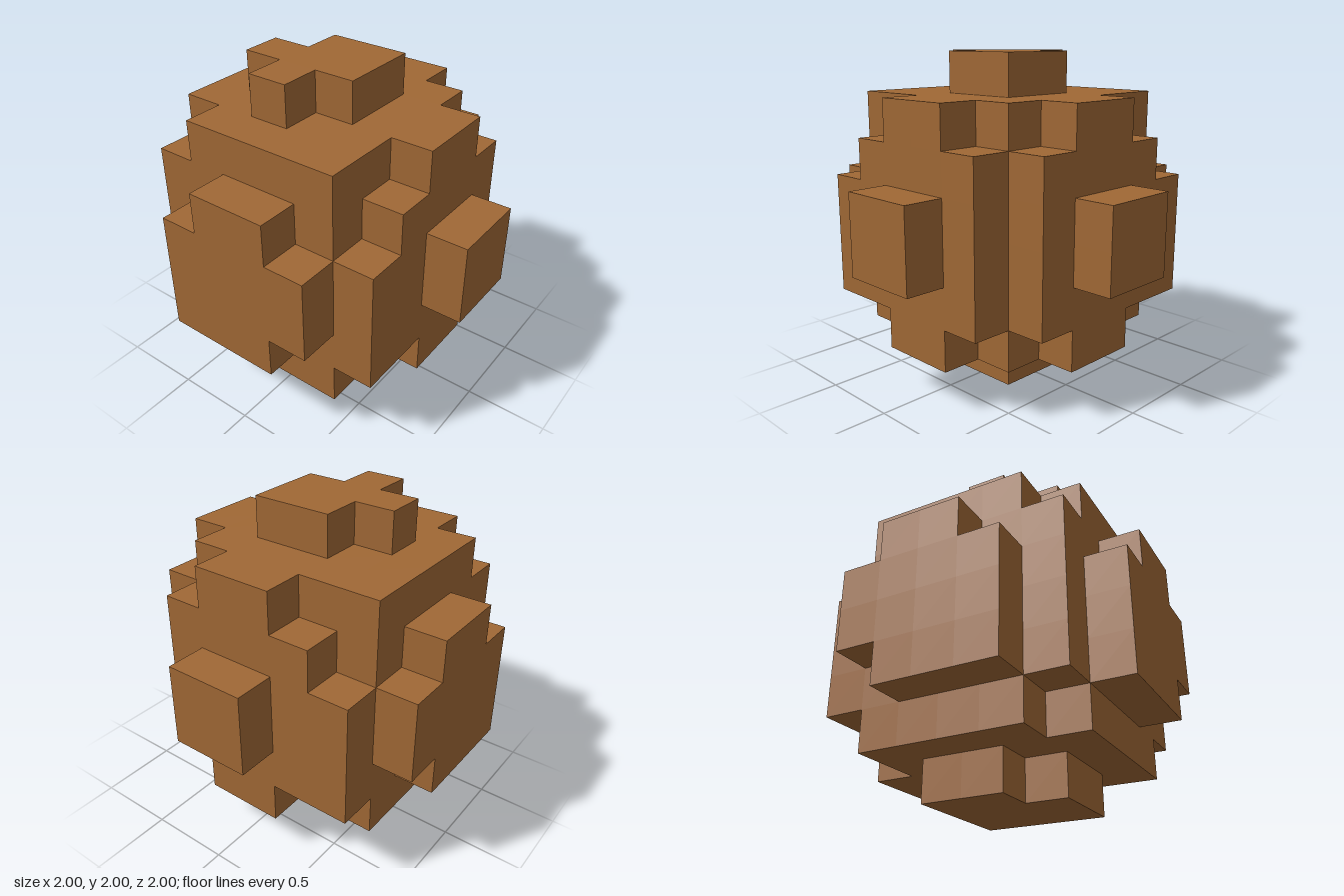
import * as THREE from 'three';
import { mergeGeometries } from 'three/addons/utils/BufferGeometryUtils.js';

const N = 8, CELL = 0.25;

// Layers from bottom to top. Each row runs back to front and gives
// the first and last filled cell along x ('--' is an empty row).
const cap = '-- 34 15 16 16 15 25 --';
const middle = '34 15 06 07 07 06 16 25';
const layers = [
  '-- -- -- 24 24 34 -- --',
  cap,
  '-- 15 16 06 06 06 16 24',
  middle,
  middle,
  '-- 25 16 06 06 16 15 34',
  cap,
  '-- -- -- 34 24 33 -- --',
].map((layer) => layer.split(' '));

function filled(x, y, z) {
  const row = layers[y]?.[z];
  return !!row && row !== '--' && x >= +row[0] && x <= +row[1];
}

// Outward direction of each cube side and the rotation that turns a plane to it
const H = Math.PI / 2;
const sides = [
  [[1, 0, 0], [0, H, 0]],
  [[-1, 0, 0], [0, -H, 0]],
  [[0, 1, 0], [-H, 0, 0]],
  [[0, -1, 0], [H, 0, 0]],
  [[0, 0, 1], [0, 0, 0]],
  [[0, 0, -1], [0, 2 * H, 0]],
];

// The outermost cells on each side are raised patches, the rest is the body
function partOf(x, y, z) {
  if (y === N - 1) return 'topPatch';
  if (y === 0) return 'bottomPatch';
  if (z === N - 1) return 'frontPatch';
  if (z === 0) return 'backPatch';
  if (x === N - 1) return 'leftPatch';
  if (x === 0) return 'rightPatch';
  return 'body';
}

export function createModel() {
  const group = new THREE.Group();
  group.name = 'blockyBall';
  const brown = new THREE.MeshStandardMaterial({ color: 0xa06835 });
  brown.name = 'brown';

  // Collect only the exposed cell faces
  const parts = {};
  for (let y = 0; y < N; y++)
    for (let z = 0; z < N; z++)
      for (let x = 0; x < N; x++) {
        if (!filled(x, y, z)) continue;
        for (const [[dx, dy, dz], [rx, ry, rz]] of sides) {
          if (filled(x + dx, y + dy, z + dz)) continue;
          const face = new THREE.PlaneGeometry(CELL, CELL);
          face.rotateX(rx).rotateY(ry).rotateZ(rz);
          face.translate(
            (x + 0.5 + dx / 2) * CELL - 1,
            (y + 0.5 + dy / 2) * CELL,
            (z + 0.5 + dz / 2) * CELL - 1
          );
          (parts[partOf(x, y, z)] ??= []).push(face);
        }
      }

  for (const [name, faces] of Object.entries(parts)) {
    const mesh = new THREE.Mesh(mergeGeometries(faces), brown);
    mesh.name = name;
    group.add(mesh);
  }
  return group;
}
